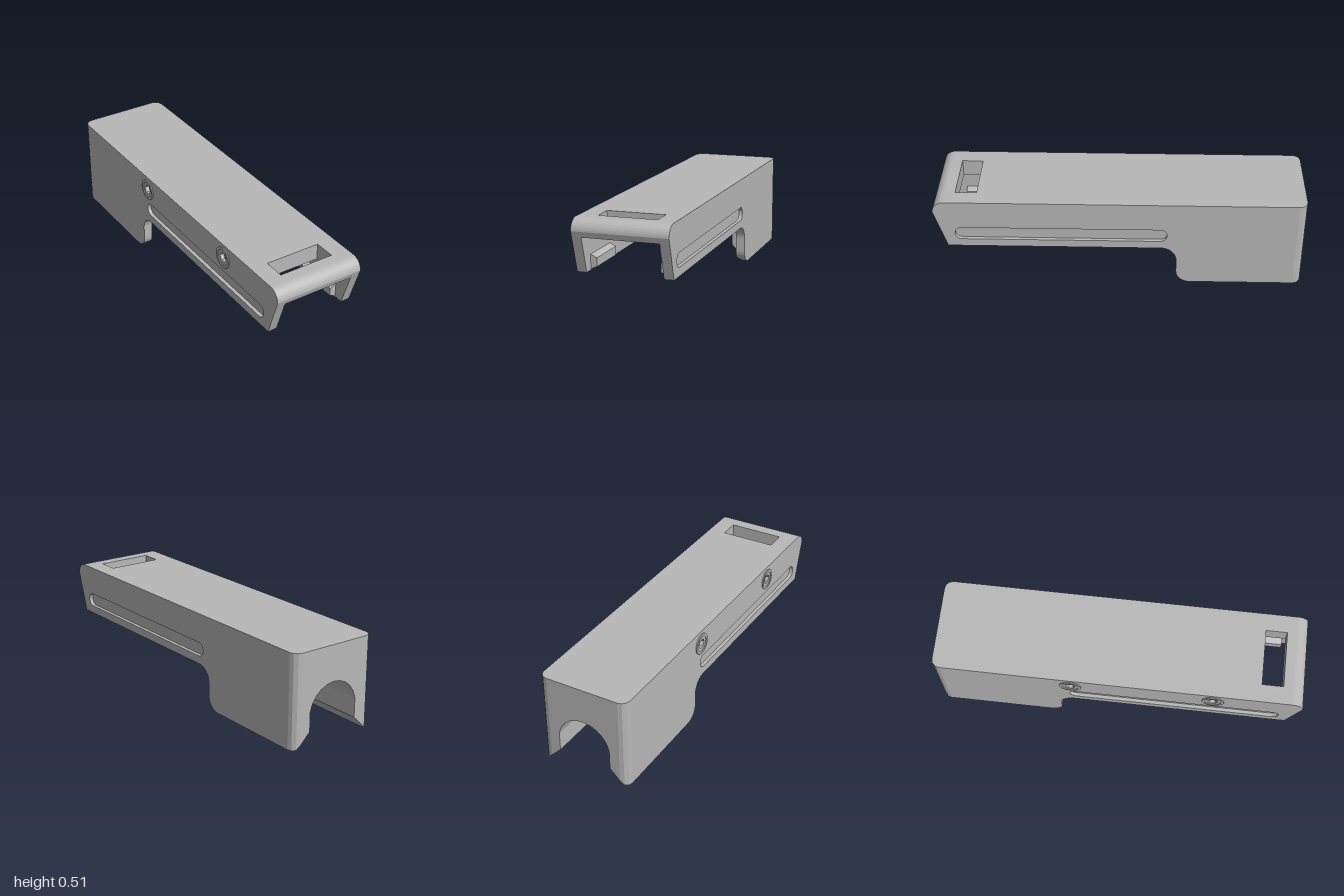
import * as THREE from 'three';

const HALF = 0.2525;   // half width outside
const INNER = 0.2015;  // half width of the channel
const TOP = 0.512, CEILING = 0.42, REAR = -0.4;
const SKIN = 0.02;     // depth of the side grooves
const BOLTS = [0.52, -0.25], BOLT_Y = 0.435, BOLT_R = 0.06;

const polygon = (pts) => new THREE.Shape(pts.map(([x, y]) => new THREE.Vector2(x, y)));
const extrude = (shape, depth, steps = 1) =>
  new THREE.ExtrudeGeometry(shape, { depth, steps, bevelEnabled: false, curveSegments: 6 });

// Shape drawn in (z, y), extruded between two x positions
function acrossX(shape, x0, x1) {
  return extrude(shape, x1 - x0).rotateY(-Math.PI / 2).translate(x1, 0, 0);
}

function reshape(geometry, rule) {
  const p = geometry.attributes.position, v = new THREE.Vector3();
  for (let i = 0; i < p.count; i++) {
    rule(v.fromBufferAttribute(p, i));
    p.setXYZ(i, v.x, v.y, v.z);
  }
  geometry.computeVertexNormals();
  return geometry;
}

// Side outline of a front wall, in (z, y)
function wallShape() {
  const s = new THREE.Shape();
  s.moveTo(REAR, 0.03);
  s.lineTo(REAR, 0);
  s.lineTo(-0.385, 0);
  s.absarc(-0.385, 0.075, 0.075, -Math.PI / 2, 0, false);
  s.lineTo(-0.31, 0.145);
  s.absarc(-0.225, 0.145, 0.085, Math.PI, Math.PI / 2, true);
  s.lineTo(0.93, 0.23);
  s.lineTo(1, 0.45);
  s.absarc(0.938, 0.45, 0.062, 0, Math.PI / 2, false);
  s.lineTo(REAR, TOP);
  return s;
}

// Rear block: arched section, with rounded upright rear corners
function rearBlock() {
  const pts = [[0.235, 0], [HALF, 0], [HALF, TOP], [-HALF, TOP], [-HALF, 0], [-0.235, 0], [-0.15, 0.085]];
  for (let i = 0; i <= 10; i++) {
    const a = THREE.MathUtils.degToRad(170 - 16 * i);
    pts.push([0.152 * Math.cos(a), 0.165 + 0.152 * Math.sin(a)]);
  }
  pts.push([0.15, 0.085]);
  const r = 0.045, turns = [90, 60, 30, 0].map(THREE.MathUtils.degToRad);
  return reshape(extrude(polygon(pts), 4, 4), (v) => {
    const i = Math.round(v.z);
    if (i === 4) { v.z = REAR; return; }
    v.z = -1 + r - r * Math.sin(turns[i]);
    const limit = HALF - r * (1 - Math.cos(turns[i]));
    if (Math.abs(v.x) > limit) v.x = Math.sign(v.x) * limit;
    if (v.y < 0.05) v.y = Math.max(v.y, 0.235 - Math.abs(v.x));
  });
}

export function createModel() {
  const model = new THREE.Group();
  model.name = 'housing';
  const grey = new THREE.MeshStandardMaterial({ color: 0xb8b8b8 });
  grey.name = 'grey';
  const add = (name, geometry) => {
    const mesh = new THREE.Mesh(geometry, grey);
    mesh.name = name;
    mesh.position.x = 0.0025;
    model.add(mesh);
    return mesh;
  };

  add('rearBlock', rearBlock());

  // Top plate with its window, and the rounded nose
  const plate = polygon([[-INNER, -0.9], [INNER, -0.9], [INNER, 0.4], [-INNER, 0.4]]);
  plate.holes.push(polygon([[-0.155, -0.885], [-0.155, -0.77], [0.155, -0.77], [0.155, -0.885]]));
  add('topPlate', extrude(plate, TOP - CEILING).rotateX(-Math.PI / 2).translate(0, CEILING, 0));
  const nose = new THREE.Shape();
  nose.moveTo(0.9, CEILING);
  nose.lineTo(0.99, CEILING);
  nose.lineTo(1, 0.45);
  nose.absarc(0.938, 0.45, 0.062, 0, Math.PI / 2, false);
  nose.lineTo(0.9, TOP);
  add('nose', acrossX(nose, -INNER, INNER));

  for (const s of [1, -1]) {
    const side = s > 0 ? 'left' : 'right';
    const span = (a, b) => (s > 0 ? [a, b] : [-b, -a]);

    // Outer skin with the long groove, and bolt holes on the right
    const skin = wallShape();
    const groove = new THREE.Path();
    groove.absarc(0.85, 0.3125, 0.0375, -Math.PI / 2, Math.PI / 2, false);
    groove.absarc(-0.22, 0.3125, 0.0375, Math.PI / 2, Math.PI * 1.5, false);
    skin.holes.push(groove);
    if (s < 0) for (const z of BOLTS) {
      skin.holes.push(new THREE.Path().absarc(z, BOLT_Y, BOLT_R, 0, Math.PI * 2, false));
    }
    add(side + 'WallSkin', acrossX(skin, ...span(HALF - SKIN, HALF)));

    // Inner layer, its lower lip cut at an angle
    add(side + 'WallCore', reshape(acrossX(wallShape(), ...span(INNER, HALF - SKIN)), (v) => {
      v.x = s * Math.max(Math.abs(v.x), HALF - SKIN - v.y);
    }));

    // Ceiling rail with a raked front end
    const rail = polygon([[s * INNER, CEILING], [s * 0.157, CEILING], [s * 0.172, 0.377], [s * INNER, 0.377]]);
    add(side + 'CeilingRail', reshape(extrude(rail, 1.1).translate(0, 0, REAR), (v) => {
      if (v.z > 0 && v.y < 0.4) v.z -= 0.04;
    }));

    // Inward lugs that grip from the walls
    const lug = polygon([[s * INNER, 0.31], [s * 0.167, 0.295], [s * 0.167, 0.25], [s * INNER, 0.235]]);
    for (const z of [0.63, -0.1]) add(side + 'Lug', extrude(lug, 0.25).translate(0, 0, z));
  }

  // Socket-head bolts: an outer rim and a lower hexagonal head
  for (const z of BOLTS) {
    const rim = new THREE.Shape().absarc(z, BOLT_Y, BOLT_R, 0, Math.PI * 2, false);
    rim.holes.push(new THREE.Path().absarc(z, BOLT_Y, 0.045, 0, Math.PI * 2, false));
    add('boltRim', acrossX(rim, -HALF - 0.006, -HALF + SKIN));
    const head = new THREE.Shape().absarc(z, BOLT_Y, 0.045, 0, Math.PI * 2, false);
    const hex = [];
    for (let i = 0; i < 6; i++) {
      const a = (i * Math.PI) / 3;
      hex.push([z + 0.028 * Math.cos(a), BOLT_Y + 0.028 * Math.sin(a)]);
    }
    head.holes.push(polygon(hex));
    add('boltHead', acrossX(head, -HALF - 0.002, -HALF + SKIN));
  }
  return model;
}
